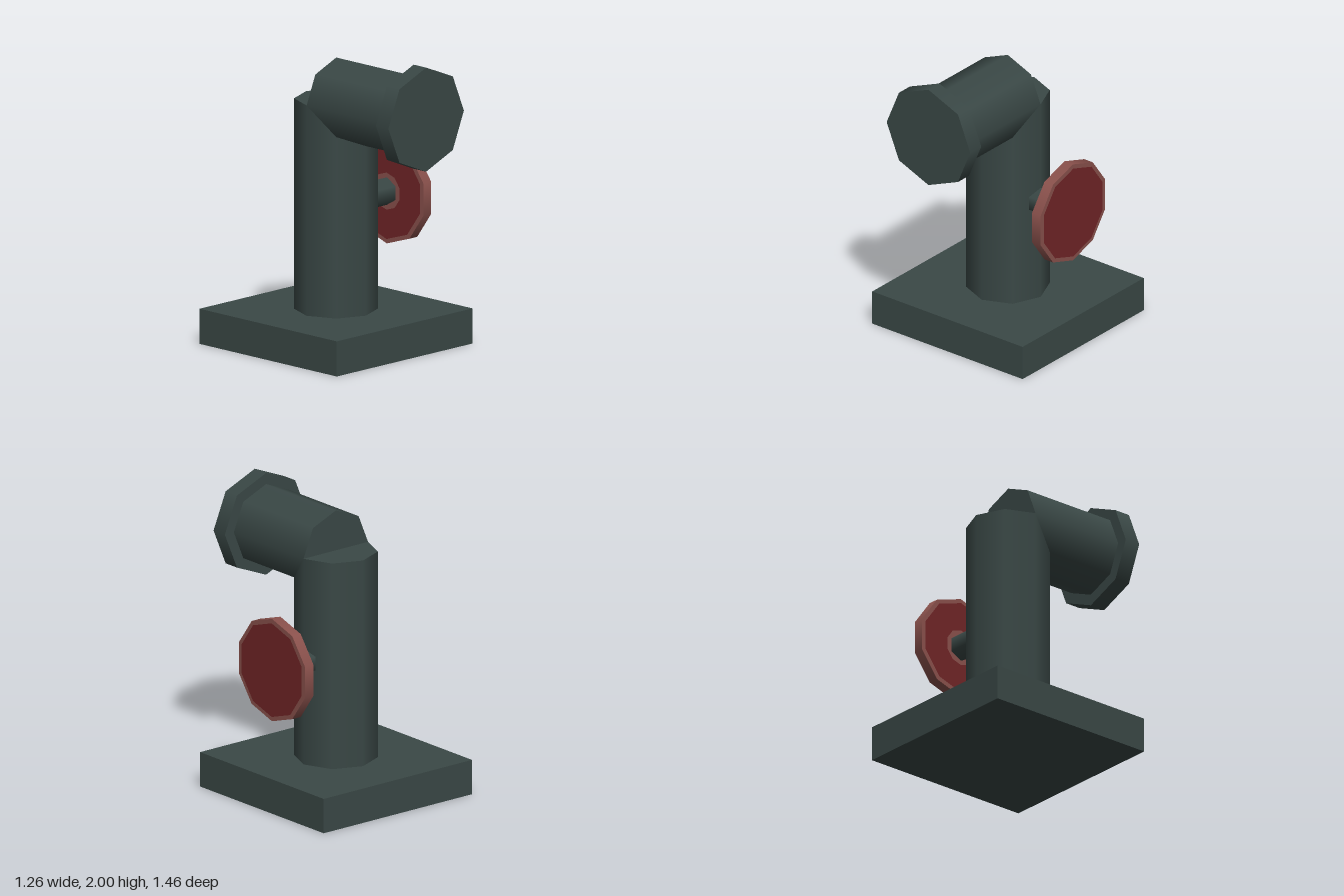
import * as THREE from 'three';

const mat = (name, color) => {
  const m = new THREE.MeshStandardMaterial({ color });
  m.name = name;
  return m;
};

export function createModel() {
  const iron = mat('dark iron', 0x3a4846);
  const rimRed = mat('worn red', 0x8a514c);
  const faceRed = mat('deep red', 0x712527);
  const group = new THREE.Group();
  const axisZ = -0.1; // column centre line
  const elbowY = 1.65;
  const valveY = 0.943;

  const add = (name, geometry, material, x, y, z) => {
    const mesh = new THREE.Mesh(geometry, material);
    mesh.name = name;
    mesh.position.set(x, y, z);
    group.add(mesh);
  };
  // cylinder with a corner pointing along +x before it is turned
  const cyl = (r, length, sides) =>
    new THREE.CylinderGeometry(r, r, length, sides, 1, false, Math.PI / 2);

  // square foot and octagonal column
  add('base', new THREE.BoxGeometry(1.26, 0.236, 1.26), iron, 0, 0.118, axisZ);
  add('column', cyl(0.274, elbowY - 0.236, 8), iron, 0, (elbowY + 0.236) / 2, axisZ);

  // horizontal outlet pipe and its end flange
  add('outletPipe', cyl(0.274, 0.71, 8).rotateX(Math.PI / 2), iron, 0, elbowY, 0.257);
  add('flange', cyl(0.35, 0.115, 8).rotateX(Math.PI / 2), iron, 0, elbowY, 0.67);

  // valve stem and hand wheel
  add('valveStem', cyl(0.0925, 0.28, 6).rotateZ(Math.PI / 2), iron, 0.335, valveY, axisZ);
  add('handWheel', cyl(0.352, 0.072, 10).rotateZ(Math.PI / 2), rimRed, 0.508, valveY, axisZ);

  // painted wheel faces: full disc outside, ring around the stem inside
  const disc = new THREE.CircleGeometry(0.322, 10, Math.PI / 2).rotateY(Math.PI / 2);
  add('wheelFrontFace', disc, faceRed, 0.547, valveY, axisZ);
  const ring = new THREE.RingGeometry(0.125, 0.322, 10, 1, Math.PI / 2).rotateY(-Math.PI / 2);
  add('wheelBackFace', ring, faceRed, 0.469, valveY, axisZ);

  return group;
}
